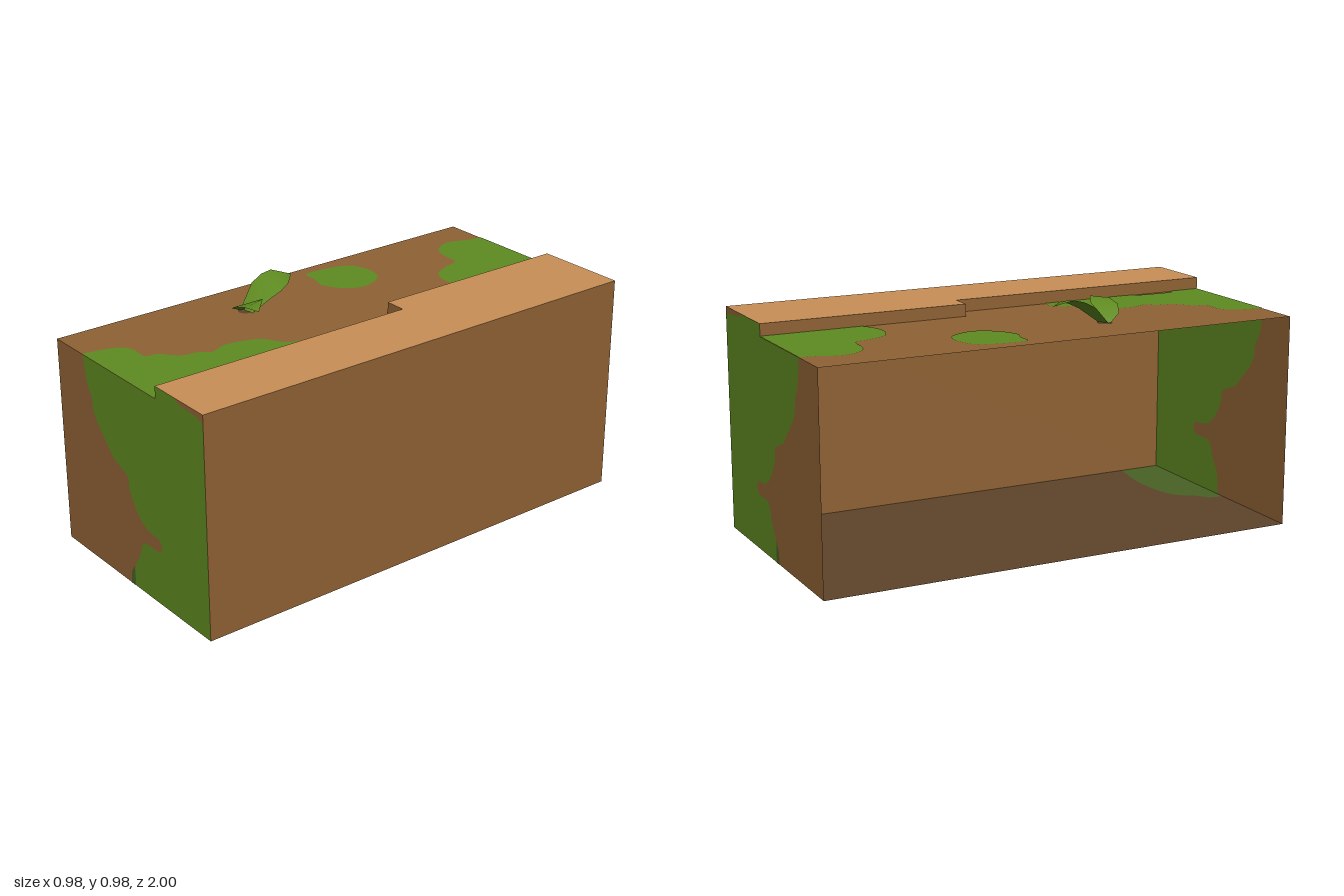
import * as THREE from 'three';

const mat = (name, color) => {
  const m = new THREE.MeshStandardMaterial({ color, side: THREE.DoubleSide });
  m.name = name;
  return m;
};

// Smooth organic outline through a few points
const smooth = (pts, closed = false) => {
  const v = pts.map(([x, y]) => new THREE.Vector2(x, y));
  if (closed) v.push(v[0].clone());
  return new THREE.SplineCurve(v).getPoints(pts.length * 4).map((p) => [p.x, p.y]);
};

const flat = (pts) =>
  new THREE.ShapeGeometry(new THREE.Shape(pts.map(([x, y]) => new THREE.Vector2(x, y))));

// Horizontal sheet from (x, z) points at height y
const plan = (pts, y) =>
  flat(pts.map(([x, z]) => [x, -z])).rotateX(-Math.PI / 2).translate(0, y, 0);

// Leaf blade from rows of [left, middle, right] points
function leafGeometry(rows) {
  const pos = rows.flat(2);
  const idx = [];
  for (let i = 0; i < rows.length - 1; i++)
    for (let j = 0; j < 2; j++) {
      const a = i * 3 + j;
      idx.push(a, a + 1, a + 3, a + 1, a + 4, a + 3);
    }
  const g = new THREE.BufferGeometry();
  g.setAttribute('position', new THREE.Float32BufferAttribute(pos, 3));
  g.setIndex(idx);
  g.computeVertexNormals();
  return g;
}

export function createModel() {
  const group = new THREE.Group();
  const soil = mat('soil brown', 0x8f6234);
  const pale = mat('pale brown', 0xc88f57);
  const dark = mat('dark soil', 0x5e432a);
  const grass = mat('grass green', 0x5e8a20);
  const moss = mat('dark moss', 0x496226);
  const add = (name, geo, material) => {
    const m = new THREE.Mesh(geo, material);
    m.name = name;
    group.add(m);
    return m;
  };

  const W = 0.49, H = 0.86, R = 0.91; // half width, low top, ridge top
  const STEP = -0.14; // where the ridge widens

  // Boundary between soil and grass on both ends, top to bottom
  const edge = smooth([
    [-0.305, H], [-0.295, 0.8], [-0.28, 0.74], [-0.255, 0.7], [-0.25, 0.65], [-0.22, 0.6],
    [-0.17, 0.55], [-0.12, 0.5], [-0.06, 0.475], [-0.025, 0.455], [-0.02, 0.41], [0.01, 0.355],
    [0.05, 0.31], [0.1, 0.285], [0.17, 0.277], [0.187, 0.25], [0.17, 0.225], [0.08, 0.222],
    [0.05, 0.2], [0.035, 0.155], [0, 0.1], [-0.01, 0.05], [-0.01, 0],
  ]);
  const wedge = [[W, 0.875], [0.45, 0.888], [0.4, 0.89], [0.34, 0.893], [0.31, R]];

  // End walls
  for (const [side, z, ridgeX] of [['front', 1, 0.19], ['back', -1, 0.1]]) {
    const end = (name, pts, m, out = 0) => {
      const g = flat(pts);
      if (z < 0) { // turn the sheet outward while keeping x
        const ix = g.index.array;
        for (let i = 0; i < ix.length; i += 3) [ix[i], ix[i + 1]] = [ix[i + 1], ix[i]];
        g.computeVertexNormals();
      }
      add(side + name, g.translate(0, 0, z + Math.sign(z) * out), m);
    };
    end('EndSoil', [[-W, H], [-W, 0], ...[...edge].reverse()], soil);
    end('EndGrass', [...edge, [W, 0], ...wedge, [ridgeX, R], [ridgeX, H]], grass);
    end('EndRidgeSoil', [...wedge, [W, R]], soil);
    end('EndMoss', [[-0.04, 0], [-0.01, 0], [-0.008, 0.06], [-0.013, 0.085], [-0.035, 0.05]], moss, 0.001);
  }

  // Long outer wall; the opposite side stays open
  add('sideWall', new THREE.PlaneGeometry(2, R).rotateY(Math.PI / 2).translate(W, R / 2, 0), soil);

  // Floor with a mossy corner
  const mossEdge = smooth([
    [W, 0.82], [0.3, 0.79], [0.15, 0.8], [0.06, 0.83], [0.01, 0.9], [-0.04, 0.94], [-0.05, 1],
  ]);
  add('floorMoss', plan([...mossEdge, [W, 1]], 0), moss);
  add('floor', plan([...mossEdge, [-W, 1], [-W, -1], [W, -1]], 0), dark);

  // Low top, raised ridge and its risers
  const inner = [[0.19, 1], [0.19, STEP], [0.1, STEP], [0.1, -1]];
  add('lowTop', plan([[-W, -1], [-W, 1], ...inner], H), soil);
  add('ridgeTop', plan([[W, 1], [W, -1], ...[...inner].reverse()], R), pale);
  inner.slice(1).forEach(([x1, z1], i) => {
    const [x0, z0] = inner[i];
    const g = new THREE.PlaneGeometry(Math.hypot(x1 - x0, z1 - z0), R - H);
    if (x0 === x1) g.rotateY(-Math.PI / 2);
    add('ridgeRiser', g.translate((x0 + x1) / 2, (R + H) / 2, (z0 + z1) / 2), soil);
  });

  // Grass patches on the low top
  const Y = H + 0.002;
  add('backGrass', plan([...smooth([
    [-0.31, -1], [-0.325, -0.93], [-0.35, -0.86], [-0.34, -0.8], [-0.3, -0.75], [-0.24, -0.73],
    [-0.16, -0.72], [-0.14, -0.65], [-0.1, -0.575], [-0.02, -0.545], [0.05, -0.555], [0.1, -0.585],
  ]), [0.1, -1]], Y), grass);
  add('roundGrass', plan(smooth([
    [-0.39, -0.355], [-0.3, -0.38], [-0.22, -0.35], [-0.178, -0.25], [-0.22, -0.165],
    [-0.3, -0.12], [-0.36, -0.135], [-0.43, -0.14], [-0.435, -0.2], [-0.42, -0.3],
  ], true), Y), grass);
  add('frontGrass', plan([...smooth([
    [-0.305, 1], [-0.28, 0.88], [-0.23, 0.832], [-0.145, 0.83], [-0.13, 0.78], [-0.065, 0.72],
    [-0.05, 0.65], [-0.02, 0.61], [-0.045, 0.54], [-0.03, 0.45], [0, 0.39], [0.08, 0.34],
    [0.1, 0.285], [0.15, 0.255], [0.19, 0.265],
  ]), [0.19, 0.65], [0.17, 0.72], [0.165, 0.86], [0.19, 0.87], [0.19, 1]], Y), grass);

  // Sprout: small dark mound and two curved leaves
  add('sproutMound', new THREE.CircleGeometry(0.03, 16).rotateX(-Math.PI / 2)
    .translate(-0.27, Y, 0.28), dark);
  add('tallLeaf', leafGeometry([
    [[-0.3, 0.87, 0.275], [-0.268, 0.863, 0.28], [-0.235, 0.86, 0.27]],
    [[-0.335, 0.94, 0.2], [-0.27, 0.925, 0.21], [-0.205, 0.915, 0.2]],
    [[-0.338, 0.965, 0.15], [-0.275, 0.955, 0.15], [-0.198, 0.935, 0.16]],
    [[-0.33, 0.975, 0.11], [-0.28, 0.966, 0.1], [-0.215, 0.95, 0.11]],
    [[-0.295, 0.95, 0.035], [-0.295, 0.95, 0.035], [-0.295, 0.95, 0.035]],
  ]), grass);
  add('lowLeaf', leafGeometry([
    [[-0.285, 0.865, 0.3], [-0.285, 0.863, 0.29], [-0.28, 0.865, 0.28]],
    [[-0.26, 0.893, 0.35], [-0.25, 0.896, 0.31], [-0.245, 0.9, 0.264]],
    [[-0.21, 0.92, 0.372], [-0.2, 0.925, 0.32], [-0.19, 0.93, 0.262]],
    [[-0.15, 0.935, 0.366], [-0.15, 0.942, 0.32], [-0.15, 0.95, 0.28]],
    [[-0.102, 0.925, 0.335], [-0.102, 0.925, 0.335], [-0.102, 0.925, 0.335]],
  ]), grass);

  return group;
}
